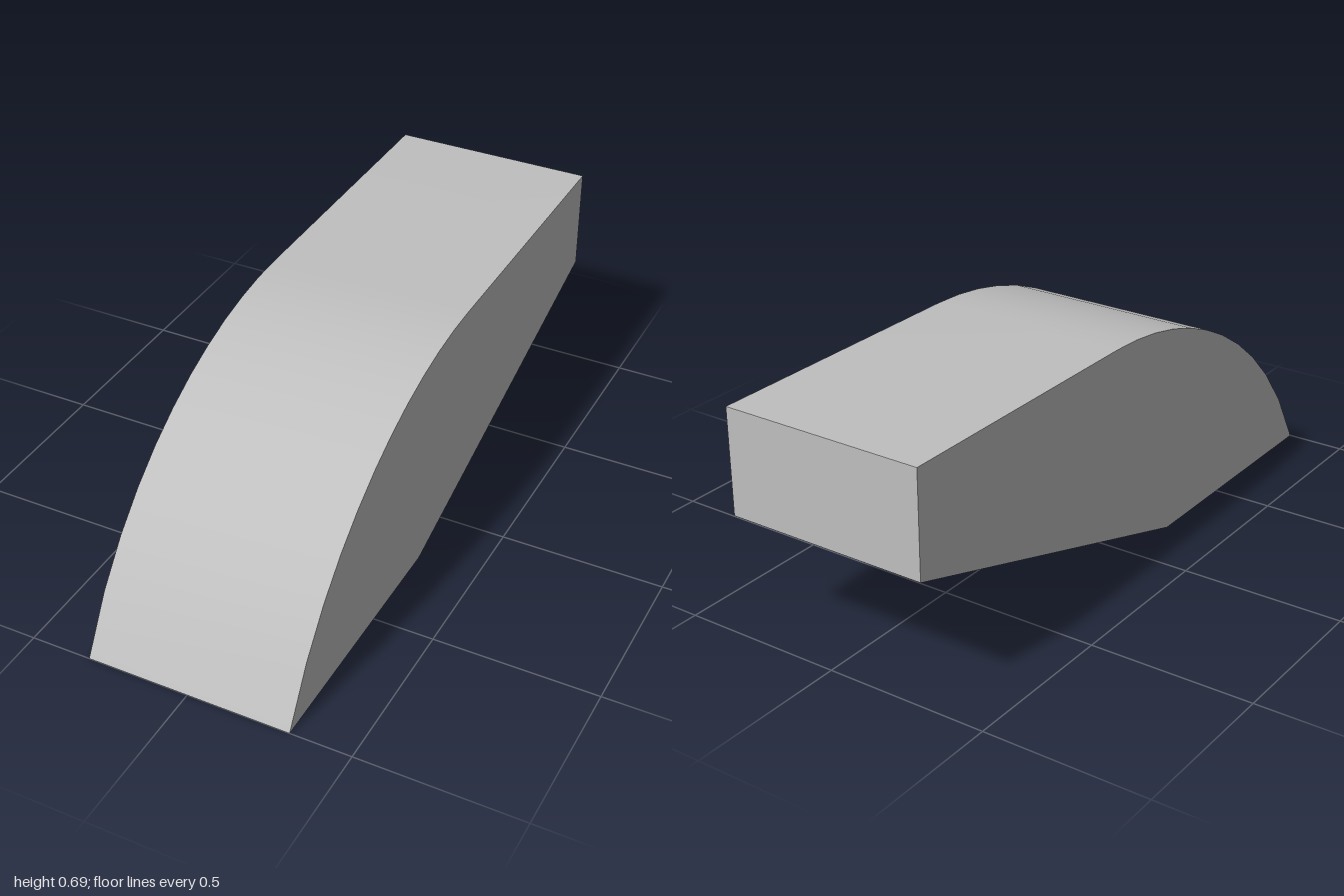
import * as THREE from 'three';
import { toCreasedNormals } from 'three/addons/utils/BufferGeometryUtils.js';

const WIDTH = 0.63, TOP = 0.69, RADIUS = 1.22, CREST = -0.1, STEPS = 11;

export function createModel() {
  const group = new THREE.Group();
  const grey = new THREE.MeshStandardMaterial({ color: 0xbfbfbf });
  grey.name = 'plain grey';

  // Side profile, drawn with z along the shape's x axis
  const profile = new THREE.Shape();
  profile.moveTo(-1, 0.37);
  profile.lineTo(0.2, 0);
  profile.lineTo(1, 0);
  // Curved nose: circular arc rising to the crest
  for (let i = 1; i <= STEPS; i++) {
    const z = 1 + (CREST - 1) * i / STEPS;
    profile.lineTo(z, TOP - RADIUS + Math.sqrt(RADIUS ** 2 - (z - CREST) ** 2));
  }
  profile.lineTo(-1, TOP);
  profile.closePath();

  // Extrude across the width, centre, and turn the nose to +z
  const extruded = new THREE.ExtrudeGeometry(profile, { depth: WIDTH, bevelEnabled: false });
  extruded.translate(0, 0, -WIDTH / 2);
  extruded.rotateY(-Math.PI / 2);

  const body = new THREE.Mesh(toCreasedNormals(extruded, 0.25), grey);
  body.name = 'curvedWedgeBody';
  group.add(body);
  return group;
}
